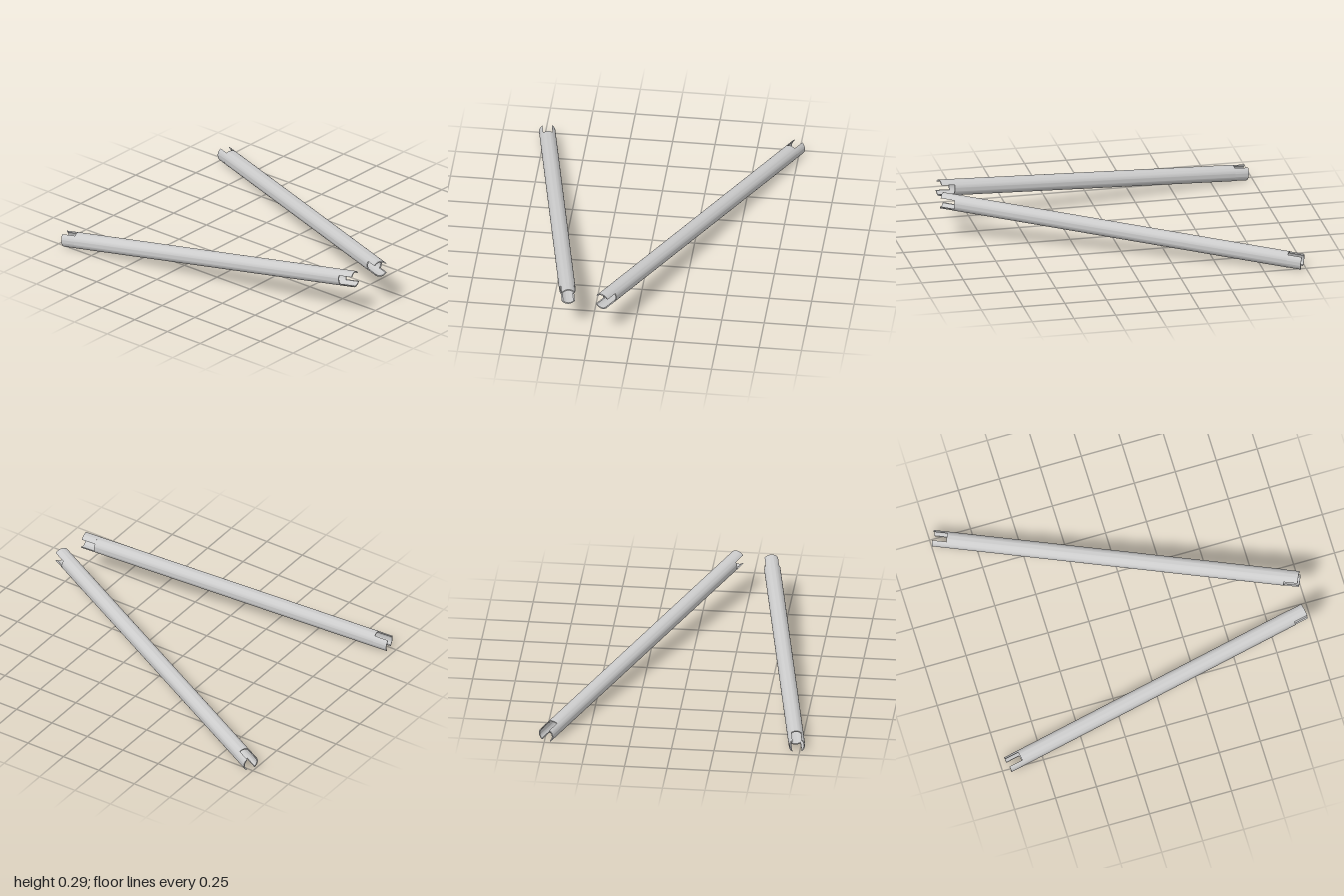
import * as THREE from 'three';
import { toCreasedNormals } from 'three/addons/utils/BufferGeometryUtils.js';

const R = 0.048;      // outer radius
const r = 0.041;      // bore radius
const SLOT = 0.0275;  // half width of the end slots
const DEPTH = 0.085;  // slot depth

const material = new THREE.MeshStandardMaterial({ color: 0xcccccc });

function extrude(shape, depth, curveSegments) {
  const geo = new THREE.ExtrudeGeometry(shape, { depth, bevelEnabled: false, curveSegments });
  return toCreasedNormals(geo, 0.5);
}

// Full ring section of the pipe
function ringShape() {
  const shape = new THREE.Shape().absarc(0, 0, R, 0, Math.PI * 2, false);
  shape.holes.push(new THREE.Path().absarc(0, 0, r, 0, Math.PI * 2, true));
  return shape;
}

// Part of the ring left above a straight slot
function prongShape() {
  const a = Math.asin(SLOT / R), b = Math.asin(SLOT / r);
  const shape = new THREE.Shape();
  shape.absarc(0, 0, R, a, Math.PI - a, false);
  shape.absarc(0, 0, r, Math.PI - b, b, true);
  shape.closePath();
  return shape;
}

// Pipe from its low end to its high end, slotted at both
function slottedTube(name, low, high) {
  const tube = new THREE.Group();
  tube.name = name;
  const length = low.distanceTo(high);

  const body = new THREE.Mesh(extrude(ringShape(), length - 2 * DEPTH, 32), material);
  body.name = 'tubeBody';
  body.position.z = DEPTH;
  tube.add(body);

  const prongGeo = extrude(prongShape(), DEPTH, 16);
  for (const side of [0, Math.PI]) {
    // side prongs at the low end
    const lowProng = new THREE.Mesh(prongGeo, material);
    lowProng.name = 'lowEndProng';
    lowProng.rotation.z = side + Math.PI / 2;
    // upper and lower prongs at the high end
    const highProng = new THREE.Mesh(prongGeo, material);
    highProng.name = 'highEndProng';
    highProng.rotation.z = side;
    highProng.position.z = length - DEPTH;
    tube.add(lowProng, highProng);
  }

  tube.position.copy(low);
  tube.lookAt(high);
  return tube;
}

export function createModel() {
  const model = new THREE.Group();
  model.name = 'slottedTubes';
  model.add(
    slottedTube('backTube', new THREE.Vector3(-0.98, 0.042, -0.742), new THREE.Vector3(0.98, 0.24, 0.18)),
    slottedTube('frontTube', new THREE.Vector3(-0.962, 0.042, 0.735), new THREE.Vector3(0.955, 0.24, 0.38))
  );
  return model;
}
